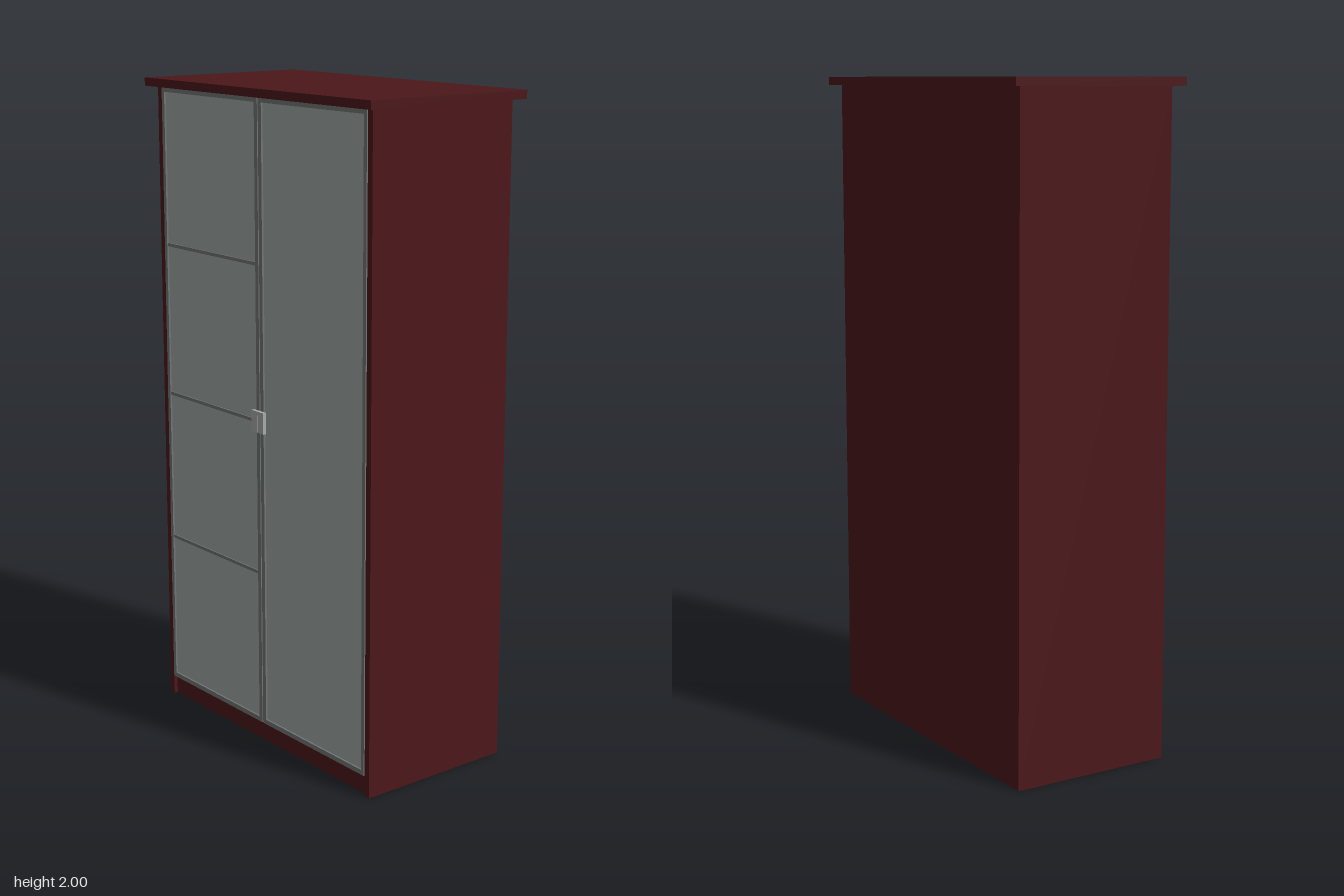
import * as THREE from 'three';

const mat = (color) => new THREE.MeshStandardMaterial({ color });

export function createModel() {
  const group = new THREE.Group();
  const wood = mat(0x4c171a), frame = mat(0x727475), glass = mat(0x9ea6a4), metal = mat(0xa8abab);

  // Box given by its limits on each axis
  const box = (name, material, [x0, x1], [y0, y1], [z0, z1], parent = group) => {
    const mesh = new THREE.Mesh(new THREE.BoxGeometry(x1 - x0, y1 - y0, z1 - z0), material);
    mesh.position.set((x0 + x1) / 2, (y0 + y1) / 2, (z0 + z1) / 2);
    mesh.name = name;
    parent.add(mesh);
  };

  // Carcass
  box('topBoard', wood, [-0.537, 0.537], [1.975, 2], [-0.284, 0.284]);
  box('leftSide', wood, [0.49, 0.51], [0, 1.975], [-0.254, 0.254]);
  box('rightSide', wood, [-0.51, -0.49], [0, 1.975], [-0.254, 0.254]);
  box('backPanel', wood, [-0.49, 0.49], [0, 1.975], [-0.254, -0.24]);
  box('bottomBoard', wood, [-0.49, 0.49], [0, 0.02], [-0.24, 0.235]);
  box('plinth', wood, [-0.49, 0.49], [0, 0.06], [0.22, 0.242]);

  // Doors: framed panels, mirrored about the middle
  for (const side of [-1, 1]) {
    const door = new THREE.Group();
    door.name = side < 0 ? 'rightDoor' : 'leftDoor';
    const span = (a, b) => (side < 0 ? [-b, -a] : [a, b]);
    const z = [0.238, 0.256];
    box('innerStile', frame, span(0.002, 0.017), [0.063, 1.972], z, door);
    box('outerStile', frame, span(0.475, 0.488), [0.063, 1.972], z, door);
    box('bottomRail', frame, span(0.017, 0.475), [0.063, 0.078], z, door);
    box('topRail', frame, span(0.017, 0.475), [1.959, 1.972], z, door);
    box('doorPanel', glass, span(0.017, 0.475), [0.078, 1.959], [0.238, 0.25], door);
    // Cross bars on one door only
    if (side < 0) for (const y of [0.547, 1.02, 1.492])
      box('crossBar', frame, span(0.017, 0.475), [y - 0.005, y + 0.005], [0.24, 0.254], door);
    box('handle', metal, span(0.001, 0.029), [0.99, 1.055], [0.256, 0.267], door);
    group.add(door);
  }
  return group;
}
